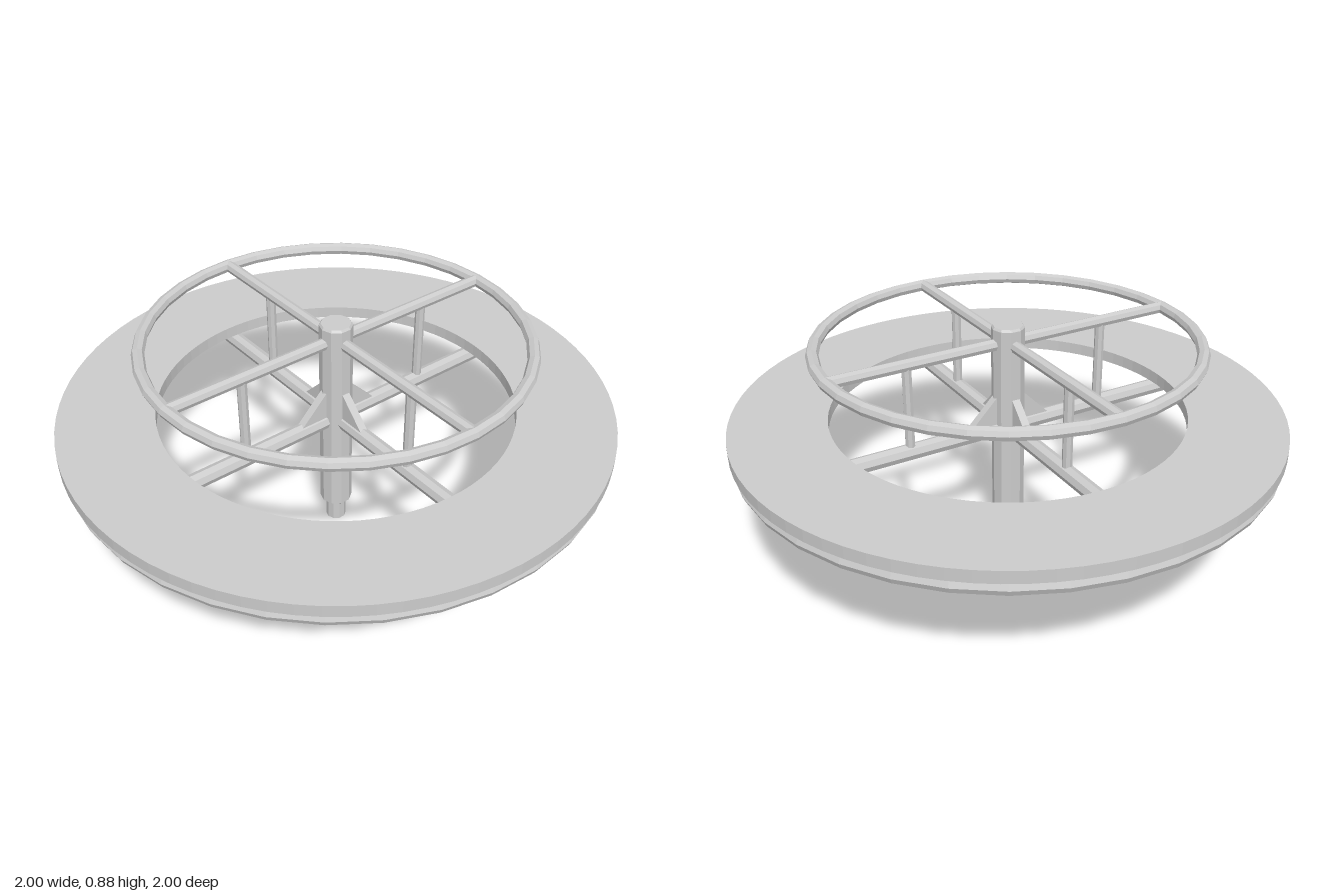
import * as THREE from 'three';

const material = new THREE.MeshStandardMaterial({ color: 0xcccccc, flatShading: true });

function part(name, geometry, parent) {
  const mesh = new THREE.Mesh(geometry, material);
  mesh.name = name;
  parent.add(mesh);
  return mesh;
}

// Horizontal hoop; outer is its overall radius
function hoop(name, outer, tube, y, parent) {
  const geometry = new THREE.TorusGeometry(outer - tube, tube, 8, 36);
  geometry.rotateX(Math.PI / 2);
  part(name, geometry, parent).position.y = y;
}

// Radial bar running from the pole out along +x
function spoke(name, length, radius, y, parent) {
  const geometry = new THREE.CylinderGeometry(radius, radius, length, 8);
  geometry.rotateZ(Math.PI / 2);
  part(name, geometry, parent).position.set(length / 2, y, 0);
}

export function createModel() {
  const model = new THREE.Group();
  model.name = 'roundTable';

  // Central pole with narrow foot and chamfered top
  const profile = [
    [0, 0], [0.038, 0], [0.038, 0.09], [0.054, 0.09], [0.06, 0.096],
    [0.06, 0.87], [0.054, 0.878], [0, 0.878],
  ].map(([r, y]) => new THREE.Vector2(r, y));
  part('pole', new THREE.LatheGeometry(profile, 10), model);

  // Flat ring top
  const ring = new THREE.Shape().absarc(0, 0, 1, 0, Math.PI * 2, false);
  ring.holes.push(new THREE.Path().absarc(0, 0, 0.65, 0, Math.PI * 2, true));
  const ringGeometry = new THREE.ExtrudeGeometry(ring, {
    depth: 0.045, bevelEnabled: false, curveSegments: 40,
  });
  ringGeometry.rotateX(-Math.PI / 2);
  part('ringTop', ringGeometry, model).position.y = 0.51;

  // Supporting hoop under the top and smaller raised hoop
  hoop('lowerHoop', 0.995, 0.03, 0.48, model);
  hoop('upperHoop', 0.705, 0.023, 0.812, model);

  // Four arms: paired spokes, connecting post and gusset
  const gusset = new THREE.Shape([
    new THREE.Vector2(0.04, 0.48), new THREE.Vector2(0.185, 0.48), new THREE.Vector2(0.04, 0.625),
  ]);
  const gussetGeometry = new THREE.ExtrudeGeometry(gusset, { depth: 0.03, bevelEnabled: false });
  gussetGeometry.translate(0, 0, -0.015);
  for (let i = 0; i < 4; i++) {
    const arm = new THREE.Group();
    arm.name = 'arm';
    arm.rotation.y = (i * Math.PI) / 2;
    spoke('lowerSpoke', 0.965, 0.03, 0.48, arm);
    spoke('upperSpoke', 0.68, 0.022, 0.812, arm);
    part('post', new THREE.CylinderGeometry(0.018, 0.018, 0.332, 8), arm).position.set(0.395, 0.646, 0);
    part('gusset', gussetGeometry, arm);
    model.add(arm);
  }
  return model;
}
